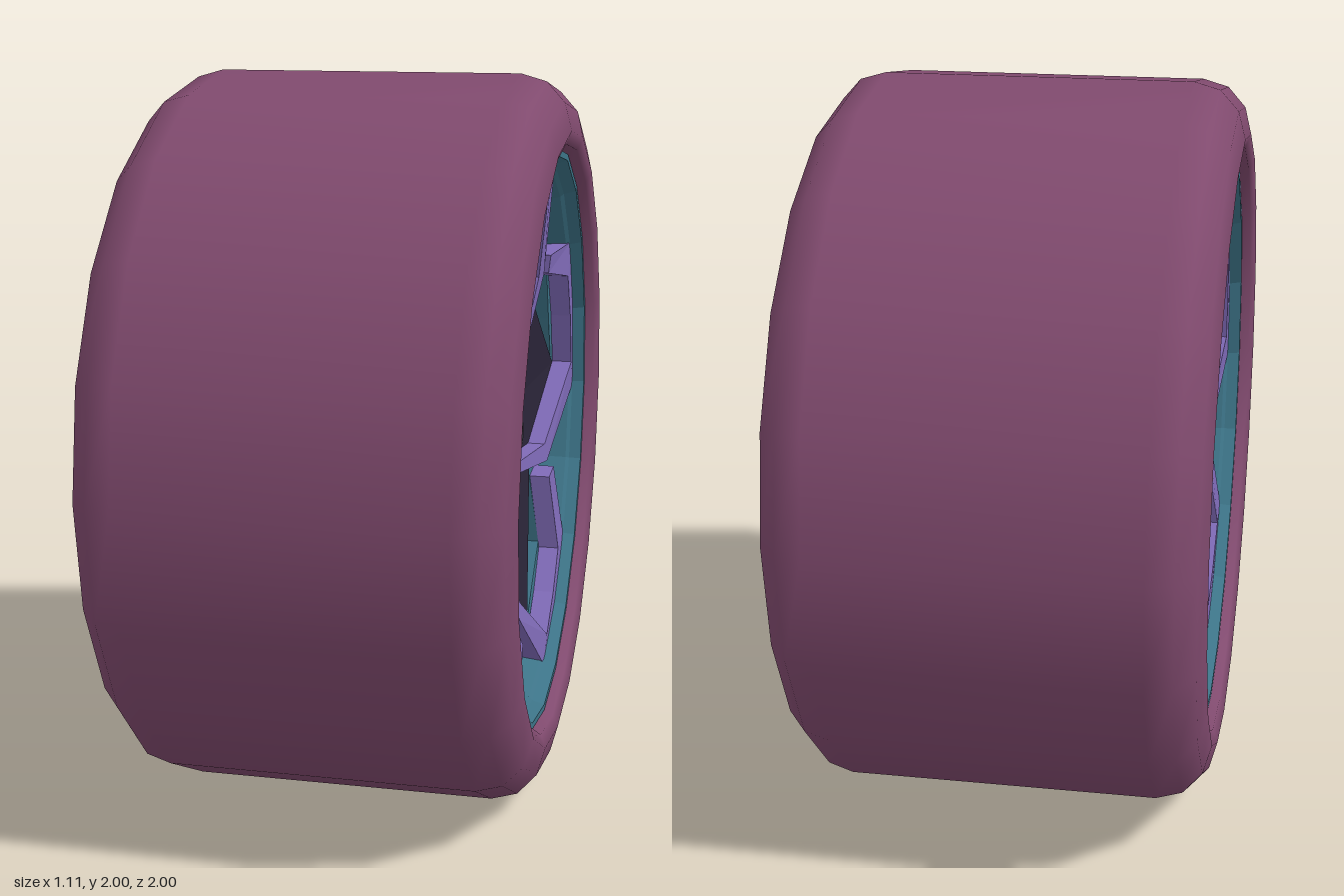
import * as THREE from 'three';

const SIDES = 20;
const mat = (color, extra = {}) =>
  new THREE.MeshStandardMaterial({ color, side: THREE.DoubleSide, ...extra });
const rubber = mat(0x804a6e);
const teal = mat(0x3d7488, { flatShading: true });
const purple = mat(0x806bb8, { flatShading: true });
const dark = mat(0x2b2539, { flatShading: true });
const steel = mat(0x4f4d59, { flatShading: true });
const grey = mat(0xcccccc, { flatShading: true });

// Ring around the x axis from [radius, x] points
function ring(points, material, sides = SIDES) {
  const geo = new THREE.LatheGeometry(points.map(([r, x]) => new THREE.Vector2(r, x)), sides);
  geo.rotateZ(-Math.PI / 2);
  return new THREE.Mesh(geo, material);
}

// Plate in the wheel face plane, dished so that its top lies at height(radius)
function plate(points, thickness, height, angle, material) {
  const shape = new THREE.Shape(points.map(([u, v]) => new THREE.Vector2(u, v)));
  const geo = new THREE.ExtrudeGeometry(shape, { depth: thickness, bevelEnabled: false });
  const p = geo.attributes.position;
  for (let i = 0; i < p.count; i++) {
    p.setZ(i, p.getZ(i) - thickness + height(Math.hypot(p.getX(i), p.getY(i))));
  }
  geo.rotateZ(angle);
  geo.rotateY(Math.PI / 2);
  geo.computeVertexNormals();
  return new THREE.Mesh(geo, material);
}

// Mirrored copy across x with the winding put right
function mirrored(mesh) {
  mesh.updateMatrix();
  const geo = mesh.geometry.clone().applyMatrix4(mesh.matrix).toNonIndexed();
  geo.scale(-1, 1, 1);
  for (const attribute of Object.values(geo.attributes)) {
    const n = attribute.itemSize, a = attribute.array;
    for (let i = 0; i < attribute.count; i += 3) {
      for (let k = 0; k < n; k++) {
        const j = (i + 1) * n + k;
        [a[j], a[j + n]] = [a[j + n], a[j]];
      }
    }
  }
  const copy = new THREE.Mesh(geo, mesh.material);
  copy.name = mesh.name;
  return copy;
}

const polar = (r, deg) => {
  const a = THREE.MathUtils.degToRad(deg);
  return [r * Math.cos(a), r * Math.sin(a)];
};

// One bent spoke: thin leg, wide tip, band along the rim and a short stub
const SPOKE = [
  [0.155, 0.07], [0.182, 0.07], [0.332, 0.408], [0.25, 0.75], [0, 0.785], [-0.24, 0.75],
  [-0.316, 0.504], [-0.263, 0.493], [-0.15, 0.7], [0, 0.725], [0.16, 0.72], [0.273, 0.408],
];
const SPOKE_BACKING = [
  [0.25, 0.748], [0, 0.783], [-0.238, 0.748], [-0.333, 0.43], [-0.285, 0.435],
  [-0.16, 0.685], [0, 0.7], [0.16, 0.7],
];
const spokeTop = (r) => 0.38 + 0.1 * THREE.MathUtils.clamp((r - 0.18) / 0.55, 0, 1);
const panelTop = (r) => 0.34 + 0.08 * THREE.MathUtils.clamp((r - 0.18) / 0.55, 0, 1);

function createFace() {
  const parts = [];
  const add = (name, mesh) => { mesh.name = name; parts.push(mesh); };

  // Stepped rim lip and the barrel behind it
  add('rimLip', ring([
    [0.81, 0.48], [0.803, 0.515], [0.785, 0.515], [0.775, 0.48], [0.765, 0.47], [0.735, 0.35],
  ], teal));
  add('rimBarrel', ring([[0.735, 0.35], [0.7, 0.28], [0.62, 0.2], [0.62, 0]], grey));

  // Star-shaped panel: fan from the hub through dished rings
  const outline = [];
  for (let i = 0; i < 5; i++) {
    outline.push(polar(0.735, 77.2 + 72 * i), polar(0.515, 124.7 + 72 * i));
  }
  const verts = [], index = [];
  verts.push(panelTop(0), 0, 0);
  for (const f of [0.35, 1]) {
    for (const [u, v] of outline) {
      verts.push(panelTop(f * Math.hypot(u, v)), f * v, -f * u);
    }
  }
  const n = outline.length;
  for (let i = 0; i < n; i++) {
    const a = 1 + i, b = 1 + (i + 1) % n;
    index.push(0, a, b, a, a + n, b + n, a, b + n, b);
  }
  const panelGeo = new THREE.BufferGeometry();
  panelGeo.setAttribute('position', new THREE.Float32BufferAttribute(verts, 3));
  panelGeo.setIndex(index);
  panelGeo.computeVertexNormals();
  add('starPanel', new THREE.Mesh(panelGeo, dark));

  for (let i = 0; i < 5; i++) {
    const angle = (i * 2 * Math.PI) / 5;
    add('spoke', plate(SPOKE, 0.06, spokeTop, angle, purple));
    add('spokeBacking', plate(SPOKE_BACKING, 0.08, (r) => spokeTop(r) - 0.06, angle, teal));

    // Wheel nut with a recessed socket and a centre stud
    const nut = ring([
      [0.046, 0], [0.046, 0.065], [0.038, 0.075], [0.026, 0.075], [0.022, 0.04],
      [0.016, 0.04], [0.016, 0.06], [0, 0.06],
    ], steel, 8);
    const [u, v] = polar(0.177, 61.4 + 72 * i);
    nut.position.set(0.335, v, -u);
    add('wheelNut', nut);
  }
  return parts;
}

export function createModel() {
  const wheel = new THREE.Group();
  wheel.name = 'wheel';

  // Tyre: half profile mirrored to the other sidewall
  const half = [[1, 0.415], [0.98, 0.485], [0.925, 0.535], [0.85, 0.555], [0.815, 0.54], [0.8, 0.49]];
  const profile = [...half.map(([r, x]) => [r, -x]).reverse(), ...half];
  const tyre = ring(profile, rubber);
  tyre.name = 'tyre';
  wheel.add(tyre);

  const left = new THREE.Group(), right = new THREE.Group();
  left.name = 'leftFace';
  right.name = 'rightFace';
  for (const part of createFace()) {
    left.add(part);
    right.add(mirrored(part));
  }
  wheel.add(left, right);
  wheel.position.y = 1;

  const model = new THREE.Group();
  model.add(wheel);
  return model;
}
